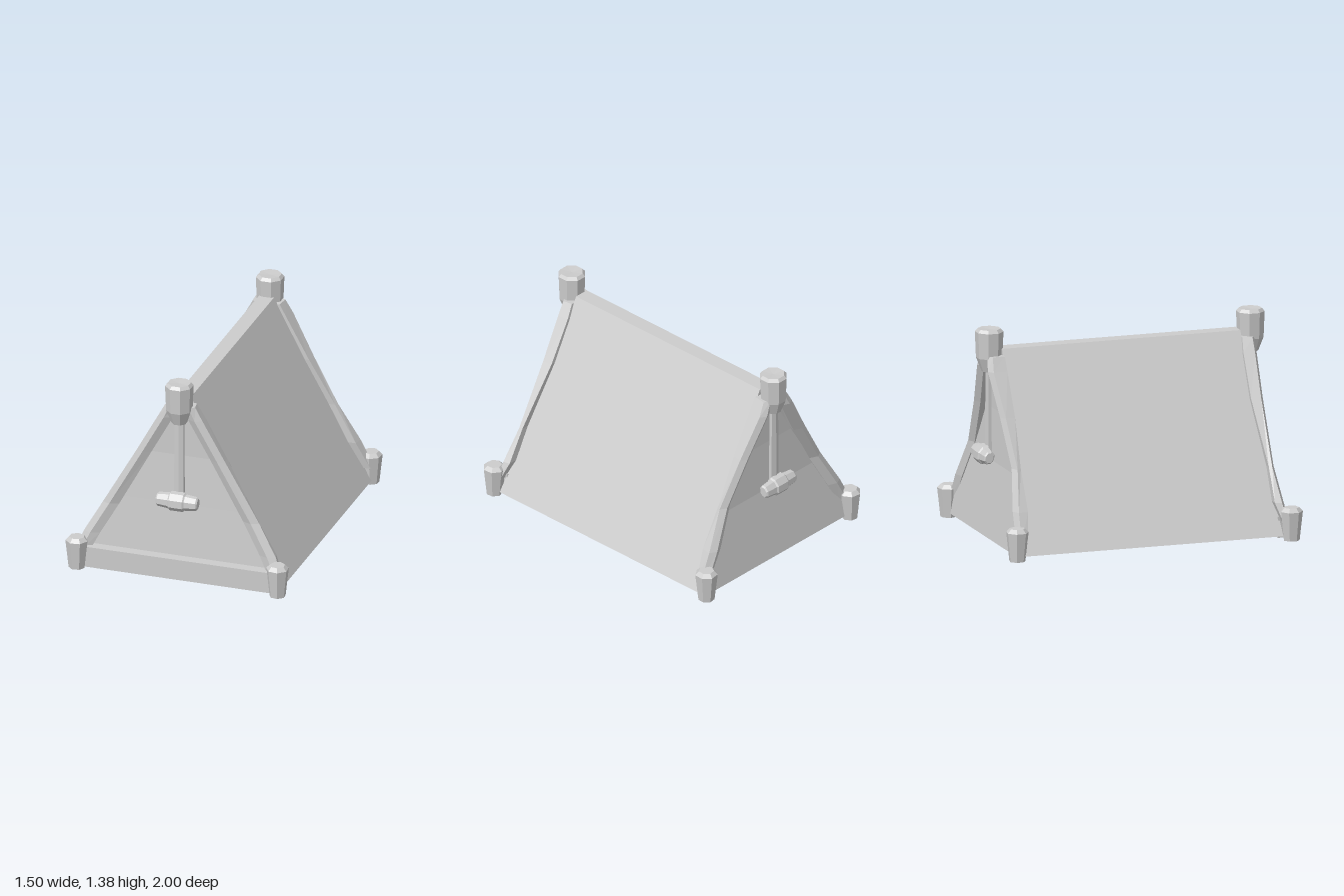
import * as THREE from 'three';

const stone = new THREE.MeshStandardMaterial({ color: 0xcccccc });
stone.name = 'light grey';

// Facet a geometry and wrap it as a named mesh
function part(name, geometry) {
  const flat = geometry.index ? geometry.toNonIndexed() : geometry;
  flat.computeVertexNormals();
  const mesh = new THREE.Mesh(flat, stone);
  mesh.name = name;
  return mesh;
}

// Solid skinned over rings of [x, y, z], bottom to top, counterclockwise from above
function loft(rings) {
  const pos = [];
  const tri = (a, b, c) => pos.push(...a, ...b, ...c);
  const n = rings[0].length;
  for (let r = 0; r < rings.length - 1; r++) {
    for (let i = 0; i < n; i++) {
      const j = (i + 1) % n, lo = rings[r], hi = rings[r + 1];
      tri(lo[i], lo[j], hi[j]);
      tri(lo[i], hi[j], hi[i]);
    }
  }
  const first = rings[0], last = rings[rings.length - 1];
  for (let i = 1; i < n - 1; i++) {
    tri(first[0], first[i + 1], first[i]);
    tri(last[0], last[i], last[i + 1]);
  }
  const g = new THREE.BufferGeometry();
  g.setAttribute('position', new THREE.Float32BufferAttribute(pos, 3));
  return g;
}

// Faceted turned piece from [radius, height] pairs
function turned(profile, sides) {
  return new THREE.LatheGeometry(profile.map(([r, y]) => new THREE.Vector2(r, y)), sides);
}

// Bent rail; each section is [y, outer x, inner x, front z, back z]
function rail(sections, side) {
  return loft(sections.map(([y, xo, xi, zf, zb]) => {
    const ring = [
      [xo, y, zf - 0.025], [xo - 0.01, y, zb], [xi + 0.02, y, zb],
      [xi, y, zf - 0.025], [xo * 0.55 + xi * 0.45, y, zf],
    ].map(([x, h, z]) => [x * side, h, z]);
    return side > 0 ? ring : ring.reverse();
  }));
}

// Posts, rails and hanging hammer of one gable
function gable(name, railSections, footX, footZ, hammerZ) {
  const g = new THREE.Group();
  g.name = name;

  const apex = part('apexPost', turned(
    [[0, 1.1], [0.05, 1.1], [0.085, 1.19], [0.092, 1.36], [0.075, 1.38], [0, 1.375]], 8));
  apex.rotation.y = Math.PI / 8;
  apex.position.z = 0.885;
  g.add(apex);

  for (const side of [-1, 1]) {
    const foot = part('cornerPost', turned(
      [[0, 0], [0.053, 0], [0.074, 0.19], [0.05, 0.215], [0, 0.215]], 7));
    foot.position.set(side * footX, 0, footZ);
    foot.rotation.y = side * 0.3;
    g.add(foot, part('gableRail', rail(railSections, side)));
  }

  // Hammer hanging head down from the apex
  const hammer = new THREE.Group();
  hammer.name = 'hammer';
  const handle = part('hammerHandle', new THREE.CylinderGeometry(0.034, 0.038, 0.56, 6));
  handle.position.set(0, 0.86, -0.04);
  handle.scale.z = 0.6;
  const head = part('hammerHead', turned([
    [0, -0.14], [0.035, -0.14], [0.045, -0.13], [0.053, -0.055], [0.063, -0.045],
    [0.063, 0.045], [0.053, 0.055], [0.045, 0.13], [0.035, 0.14], [0, 0.14]], 8));
  head.rotation.set(0, Math.PI / 8, Math.PI / 2, 'ZYX');
  head.position.y = 0.56;
  head.scale.z = 0.8;
  hammer.add(handle, head);
  hammer.position.z = hammerZ;
  g.add(hammer);
  return g;
}

export function createModel() {
  const model = new THREE.Group();
  model.name = 'ridgeTent';

  // Tent body: levels are [y, half width, front z, back z]
  const levels = [
    [0.03, 0.69, 0.87, -0.935], [0.5, 0.443, 0.825, -0.85],
    [0.83, 0.27, 0.8, -0.825], [1.25, 0.05, 0.8, -0.815],
  ];
  model.add(part('tentBody', loft(levels.map(([y, x, zf, zb]) =>
    [[x, y, zf], [x, y, zb], [-x, y, zb], [-x, y, zf]]))));

  // Sill board across the front
  const sill = part('frontSill', new THREE.BoxGeometry(1.28, 0.14, 0.08));
  sill.position.set(0, 0.08, 0.89);
  model.add(sill);

  const front = gable('frontGable', [
    [0.12, 0.70, 0.60, 0.92, 0.87], [0.24, 0.65, 0.54, 0.90, 0.83],
    [0.45, 0.53, 0.42, 0.875, 0.83], [0.85, 0.30, 0.20, 0.88, 0.79],
    [1.12, 0.15, 0.05, 0.89, 0.79], [1.21, 0.10, 0.02, 0.89, 0.80],
  ], 0.68, 0.927, 0.923);

  const back = gable('backGable', [
    [0.12, 0.70, 0.60, 0.93, 0.86], [0.30, 0.61, 0.50, 0.92, 0.83],
    [0.55, 0.47, 0.37, 0.88, 0.83], [0.85, 0.30, 0.20, 0.90, 0.81],
    [1.12, 0.15, 0.05, 0.93, 0.81], [1.21, 0.10, 0.02, 0.92, 0.81],
  ], 0.67, 0.927, 0.93);
  back.rotation.y = Math.PI;

  model.add(front, back);
  return model;
}
